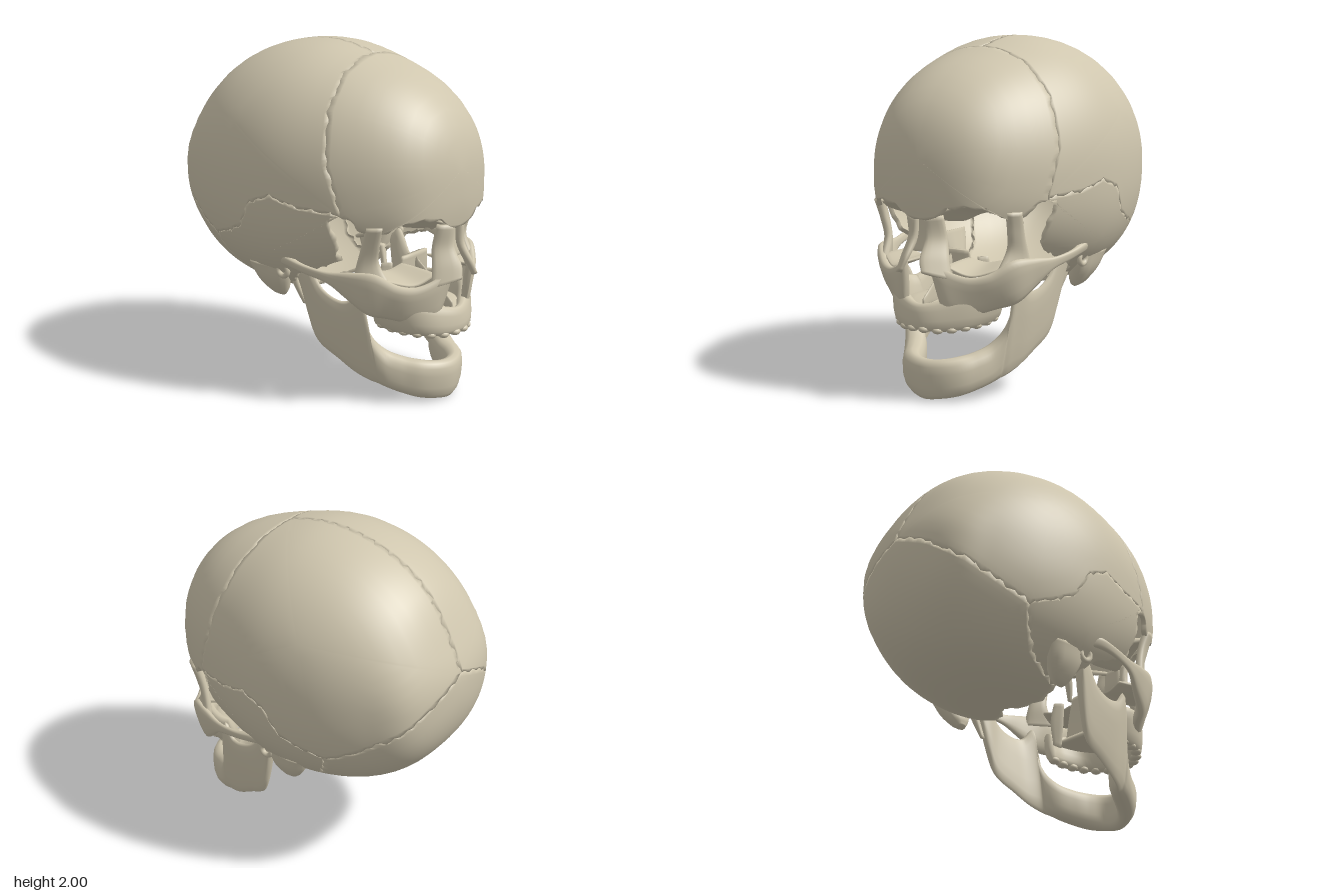
import * as THREE from 'three';

const V = (x, y, z) => new THREE.Vector3(x, y, z);
const bone = new THREE.MeshStandardMaterial({ color: 0xcfc6ae, roughness: 0.9 });
const shell = new THREE.MeshStandardMaterial({ color: 0xcfc6ae, roughness: 0.9, side: THREE.DoubleSide });

// Braincase form: half width, top and bottom height at nine stations from back to front
const sections = new THREE.CatmullRomCurve3([
  V(0, 1.25, 1.22), V(0.375, 1.49, 0.91), V(0.54, 1.79, 0.68), V(0.66, 1.955, 0.56), V(0.7, 2.0, 0.54),
  V(0.635, 1.925, 0.64), V(0.505, 1.8, 0.78), V(0.32, 1.59, 0.88), V(0, 1.26, 1.22),
], false, 'catmullrom', 0.5);
const heart = V(0, 1.23, 0);
const sec = new THREE.Vector3();

function insideSkull(p) {
  const q = (p.z + 0.035) / 0.907;
  if (Math.abs(q) >= 1) return false;
  sections.getPoint(Math.asin(q) / Math.PI + 0.5, sec);
  const dy = p.y - 1.23, e = dy > 0 ? 2.15 : 2.4;
  const h = Math.max(0.005, dy > 0 ? sec.y - 1.23 : 1.23 - sec.z);
  return Math.pow(Math.abs(p.x) / Math.max(0.005, sec.x), e) + Math.pow(Math.abs(dy) / h, e) < 1;
}

// Push a point along its ray from the middle of the braincase onto its surface
function onSkull(p, scale = 1) {
  const dir = p.clone().sub(heart).normalize(), q = new THREE.Vector3();
  let lo = 0.05, hi = 1.4;
  for (let i = 0; i < 18; i++) {
    const mid = (lo + hi) / 2;
    if (insideSkull(q.copy(heart).addScaledVector(dir, mid))) lo = mid; else hi = mid;
  }
  return q.copy(heart).addScaledVector(dir, lo * scale);
}

// Zigzag of the sutures; depends on position only, so neighbouring plates match
function zigzag(p) {
  const { x, y, z } = p;
  return V(
    x + 0.009 * (Math.sin(70 * z + 23 * y) + 0.7 * Math.sin(131 * z + 40 * y)),
    y + 0.007 * (Math.sin(83 * z + 61 * Math.abs(x)) + 0.6 * Math.sin(140 * z)),
    z + 0.007 * (Math.sin(75 * y + 49 * Math.abs(x)) + 0.6 * Math.sin(127 * Math.abs(x))));
}

function makeMesh(name, positions, index, material) {
  const g = new THREE.BufferGeometry();
  g.setAttribute('position', new THREE.Float32BufferAttribute(positions, 3));
  g.setIndex(index);
  g.computeVertexNormals();
  const m = new THREE.Mesh(g, material);
  m.name = name;
  return m;
}

// Skull plate: rings growing from a centre to an outline, with a lip folded inwards
function plate(name, outline, centre) {
  const pts = outline.filter((p, i) => p.join() !== outline[(i + outline.length - 1) % outline.length].join());
  const edge = [];
  pts.forEach((p, i) => {
    const a = V(...p), b = V(...pts[(i + 1) % pts.length]);
    const n = Math.max(3, Math.round(a.distanceTo(b) / 0.02));
    for (let k = 0; k < n; k++) edge.push(a.clone().lerp(b, k / n));
  });
  const jagged = edge.map(zigzag);
  const c = V(...centre), N = edge.length, pos = [...onSkull(c).toArray()], index = [];
  const rings = [0.1, 0.2, 0.3, 0.4, 0.5, 0.6, 0.7, 0.8, 0.9, 0.96, 1, 1];
  rings.forEach((t, r) => {
    const scale = r === rings.length - 1 ? 0.965 : 1;
    for (const e of t < 1 ? edge : jagged) pos.push(...onSkull(c.clone().lerp(e, t), scale).toArray());
    for (let i = 0; i < N; i++) {
      const j = (i + 1) % N, o = 1 + r * N;
      if (r === 0) index.push(0, o + i, o + j);
      else index.push(o - N + i, o + i, o + j, o - N + i, o + j, o - N + j);
    }
  });
  return makeMesh(name, pos, index, shell);
}

// Solid bone swept through rows of [edge A xyz, edge B xyz, thickness]
function blade(name, rows, steps = 6) {
  const curve = f => new THREE.CatmullRomCurve3(rows.map(f), false, 'catmullrom', 0.5);
  const A = curve(r => V(r[0], r[1], r[2])), B = curve(r => V(r[3], r[4], r[5])), T = curve(r => V(r[6], 0, 0));
  const n = (rows.length - 1) * steps, S = 14, pos = [], index = [];
  const mid = t => A.getPoint(t).add(B.getPoint(t)).multiplyScalar(0.5);
  const soft = v => Math.sign(v) * Math.pow(Math.abs(v), 0.75);
  for (let i = 0; i <= n; i++) {
    const t = i / n, c = mid(t), h = B.getPoint(t).sub(A.getPoint(t)).multiplyScalar(0.5);
    const along = mid(Math.min(1, t + 0.01)).sub(mid(Math.max(0, t - 0.01)));
    const side = along.cross(h).normalize().multiplyScalar(T.getPoint(t).x / 2);
    for (let k = 0; k < S; k++) {
      const w = k / S * Math.PI * 2;
      pos.push(...c.clone().addScaledVector(h, soft(Math.cos(w))).addScaledVector(side, soft(Math.sin(w))).toArray());
      const a = i * S + k, b = i * S + (k + 1) % S;
      if (i < n) index.push(a, b, b + S, a, b + S, a + S);
    }
  }
  const end = (n + 1) * S;
  pos.push(...mid(0).toArray(), ...mid(1).toArray());
  for (let k = 0; k < S; k++) {
    const l = (k + 1) % S;
    index.push(end, l, k, end + 1, n * S + k, n * S + l);
  }
  // Turn the faces outwards if the enclosed volume is negative
  let volume = 0;
  const P = i => V(pos[3 * i], pos[3 * i + 1], pos[3 * i + 2]);
  for (let i = 0; i < index.length; i += 3) volume += P(index[i]).dot(P(index[i + 1]).cross(P(index[i + 2])));
  if (volume < 0) index.reverse();
  return makeMesh(name, pos, index, bone);
}

const flip = p => [-p[0], p[1], p[2]];
const flipRow = r => [-r[0], r[1], r[2], -r[3], r[4], r[5], r[6]];
const rev = a => [...a].reverse();
const wholeLoop = half => [...half, ...rev(half.map(flip))];
const wholeArch = half => [...half, ...rev(half.slice(0, -1)).map(flipRow)];

// Sutures and rims of the left side
const browRim = [[0, 1.02, 0.87], [0.1, 1.04, 0.85], [0.17, 1.1, 0.82], [0.27, 1.12, 0.78], [0.37, 1.1, 0.72], [0.46, 1.03, 0.61], [0.48, 1.07, 0.52], [0.53, 1.15, 0.43]];
const coronal = [[0, 1.94, 0.24], [0.3, 1.86, 0.27], [0.48, 1.68, 0.31], [0.57, 1.4, 0.36], [0.53, 1.15, 0.43]];
const sagittal = [[0, 1.35, -0.91], [0, 1.7, -0.72], [0, 1.95, -0.38], [0, 2, 0], [0, 1.94, 0.24]];
const squamous = [[0.53, 1.15, 0.43], [0.6, 1.17, 0.2], [0.67, 1.21, 0.06], [0.68, 1.16, -0.08], [0.67, 1.0, -0.18], [0.65, 0.94, -0.3], [0.6, 0.89, -0.45]];
const lambdoid = [[0.6, 0.89, -0.45], [0.54, 0.98, -0.6], [0.44, 1.1, -0.74], [0.25, 1.24, -0.87], [0, 1.35, -0.91]];
const mastoidSuture = [[0.6, 0.89, -0.45], [0.57, 0.77, -0.42], [0.49, 0.65, -0.33], [0.42, 0.58, -0.16], [0.36, 0.57, -0.03]];
const templeEdge = [[0.53, 1.15, 0.43], [0.54, 1.12, 0.36], [0.5, 0.98, 0.39], [0.46, 0.88, 0.37], [0.48, 0.81, 0.26], [0.5, 0.76, 0.13], [0.47, 0.67, 0.05], [0.36, 0.57, -0.03]];
const baseEdge = [[0.36, 0.57, -0.03], [0.2, 0.55, 0.0], [0.07, 0.54, -0.06], [0, 0.54, -0.12]];

// Lower jaw from the condyle to the chin
const jaw = [
  [0.45, 0.76, 0.07, 0.44, 0.69, 0.06, 0.06], [0.44, 0.79, 0.12, 0.41, 0.45, 0.11, 0.06],
  [0.43, 0.66, 0.2, 0.39, 0.3, 0.165, 0.05], [0.42, 0.6, 0.3, 0.37, 0.22, 0.29, 0.05],
  [0.41, 0.6, 0.39, 0.35, 0.16, 0.39, 0.05], [0.39, 0.67, 0.47, 0.32, 0.12, 0.47, 0.06],
  [0.34, 0.43, 0.485, 0.29, 0.1, 0.51, 0.1], [0.27, 0.31, 0.54, 0.26, 0.08, 0.56, 0.13],
  [0.21, 0.265, 0.63, 0.21, 0.05, 0.64, 0.13], [0.16, 0.25, 0.72, 0.15, 0.025, 0.71, 0.12],
  [0.09, 0.24, 0.78, 0.08, 0.01, 0.76, 0.1], [0, 0.235, 0.8, 0, 0, 0.78, 0.1]];
const upperJaw = [
  [0.3, 0.63, 0.5, 0.25, 0.44, 0.48, 0.06], [0.32, 0.64, 0.59, 0.26, 0.43, 0.61, 0.08],
  [0.26, 0.64, 0.71, 0.22, 0.42, 0.74, 0.08], [0.14, 0.59, 0.79, 0.12, 0.41, 0.83, 0.08],
  [0, 0.56, 0.85, 0, 0.415, 0.87, 0.06]];

// Facial bones of the left side
const faceBones = {
  cheekboneAndArch: [
    [0.08, 0.83, 0.88, 0.12, 0.54, 0.81, 0.04], [0.16, 0.76, 0.83, 0.17, 0.51, 0.79, 0.05],
    [0.27, 0.72, 0.77, 0.26, 0.5, 0.7, 0.06], [0.37, 0.74, 0.71, 0.35, 0.53, 0.61, 0.07],
    [0.46, 0.81, 0.62, 0.44, 0.56, 0.55, 0.07], [0.52, 0.81, 0.49, 0.5, 0.65, 0.45, 0.05],
    [0.56, 0.8, 0.36, 0.55, 0.73, 0.36, 0.03], [0.59, 0.82, 0.22, 0.58, 0.77, 0.21, 0.03],
    [0.59, 0.85, 0.1, 0.57, 0.79, 0.09, 0.05], [0.56, 0.86, 0.02, 0.53, 0.78, 0.02, 0.06]],
  noseBridge: [
    [0.025, 1.04, 0.84, 0.12, 1.05, 0.79, 0.05], [0.035, 0.92, 0.85, 0.125, 0.92, 0.76, 0.05],
    [0.045, 0.82, 0.91, 0.16, 0.8, 0.79, 0.04], [0.07, 0.75, 0.93, 0.19, 0.7, 0.81, 0.03]],
  outerEyePillar: [
    [0.44, 1.08, 0.66, 0.49, 1.08, 0.58, 0.06], [0.43, 0.97, 0.63, 0.48, 0.96, 0.54, 0.05],
    [0.41, 0.86, 0.61, 0.49, 0.84, 0.51, 0.05], [0.39, 0.74, 0.68, 0.5, 0.74, 0.49, 0.06]],
  eyeSocketRoof: [
    [0.03, 1.04, 0.83, 0.08, 0.99, 0.52, 0.03], [0.25, 1.11, 0.77, 0.22, 1.04, 0.48, 0.02],
    [0.44, 1.06, 0.63, 0.42, 0.99, 0.45, 0.03]],
  eyeSocketFloor: [
    [0.14, 0.77, 0.81, 0.12, 0.78, 0.54, 0.02], [0.27, 0.72, 0.75, 0.22, 0.76, 0.52, 0.02],
    [0.41, 0.76, 0.65, 0.33, 0.78, 0.5, 0.02]],
  throatPlate: [
    [0.14, 0.78, 0.5, 0.18, 0.78, 0.45, 0.02], [0.15, 0.65, 0.5, 0.2, 0.66, 0.44, 0.02],
    [0.17, 0.5, 0.5, 0.2, 0.52, 0.46, 0.02]],
  styloid: [
    [0.41, 0.68, 0.02, 0.41, 0.68, -0.04, 0.05], [0.4, 0.6, 0.04, 0.4, 0.6, 0.0, 0.04],
    [0.38, 0.51, 0.06, 0.38, 0.51, 0.035, 0.02]],
  mastoid: [
    [0.5, 0.78, 0.03, 0.52, 0.78, -0.26, 0.12], [0.48, 0.68, 0.01, 0.48, 0.68, -0.22, 0.12],
    [0.44, 0.59, -0.03, 0.44, 0.6, -0.16, 0.09], [0.42, 0.555, -0.06, 0.42, 0.56, -0.11, 0.04]],
};

function ball(name, p, r) {
  const m = new THREE.Mesh(new THREE.SphereGeometry(1, 16, 12), bone);
  m.name = name;
  m.position.set(...p);
  m.scale.set(...r);
  return m;
}

export function createModel() {
  const skull = new THREE.Group();
  skull.name = 'skull';

  // Braincase plates
  skull.add(plate('frontalBone', wholeLoop([...browRim, ...rev(coronal)]), [0, 1.36, 0.84]));
  skull.add(plate('occipitalBone', wholeLoop([...rev(lambdoid), ...mastoidSuture, ...baseEdge]), [0, 0.8, -0.75]));
  const parietal = [...coronal, ...squamous, ...lambdoid, ...sagittal];
  const temporal = [...rev(squamous), ...templeEdge, ...rev(mastoidSuture)];
  skull.add(plate('leftParietalBone', parietal, [0.55, 1.55, -0.25]));
  skull.add(plate('rightParietalBone', rev(parietal.map(flip)), [-0.55, 1.55, -0.25]));
  skull.add(plate('leftTemporalBone', temporal, [0.62, 0.85, -0.04]));
  skull.add(plate('rightTemporalBone', rev(temporal.map(flip)), [-0.62, 0.85, -0.04]));

  // Paired facial bones and ear openings
  for (const [side, s] of [['left', 1], ['right', -1]]) {
    for (const [name, rows] of Object.entries(faceBones))
      skull.add(blade(`${side} ${name}`, s > 0 ? rows : rows.map(flipRow)));
    const ear = new THREE.Mesh(new THREE.TorusGeometry(0.035, 0.016, 8, 20), bone);
    ear.name = `${side} earOpening`;
    ear.position.set(s * 0.54, 0.74, 0.02);
    ear.rotation.y = Math.PI / 2;
    skull.add(ear);
  }

  // Jaws, palate and the plates inside the nose
  skull.add(blade('lowerJaw', wholeArch(jaw)));
  skull.add(blade('upperJaw', wholeArch(upperJaw)));
  skull.add(blade('palate', [[0.08, 0.52, 0.82, -0.08, 0.52, 0.82, 0.03], [0.22, 0.54, 0.68, -0.22, 0.54, 0.68, 0.03], [0.24, 0.54, 0.5, -0.24, 0.54, 0.5, 0.03]]));
  skull.add(blade('noseRoot', [[0.06, 1.04, 0.79, -0.06, 1.04, 0.79, 0.03], [0.07, 0.93, 0.79, -0.07, 0.93, 0.79, 0.03], [0.09, 0.84, 0.81, -0.09, 0.84, 0.81, 0.02]]));
  skull.add(blade('nasalBackPlate', [[0.12, 0.82, 0.55, -0.12, 0.82, 0.55, 0.03], [0.14, 0.7, 0.54, -0.14, 0.7, 0.54, 0.03], [0.15, 0.54, 0.52, -0.15, 0.54, 0.52, 0.03]]));
  skull.add(blade('nasalSeptum', [[0, 0.8, 0.56, 0, 0.55, 0.56, 0.02], [0, 0.7, 0.68, 0, 0.54, 0.68, 0.015], [0, 0.58, 0.82, 0, 0.54, 0.82, 0.015]]));

  // Tooth buds along the upper jaw
  const gum = new THREE.CatmullRomCurve3(wholeArch(upperJaw).map(r => V(r[3], r[4] + 0.01, r[5])));
  for (let i = 0; i < 14; i++)
    skull.add(ball('toothBud', gum.getPointAt((i + 0.5) / 14).toArray(), [0.033, 0.022, 0.033]));

  return skull;
}
